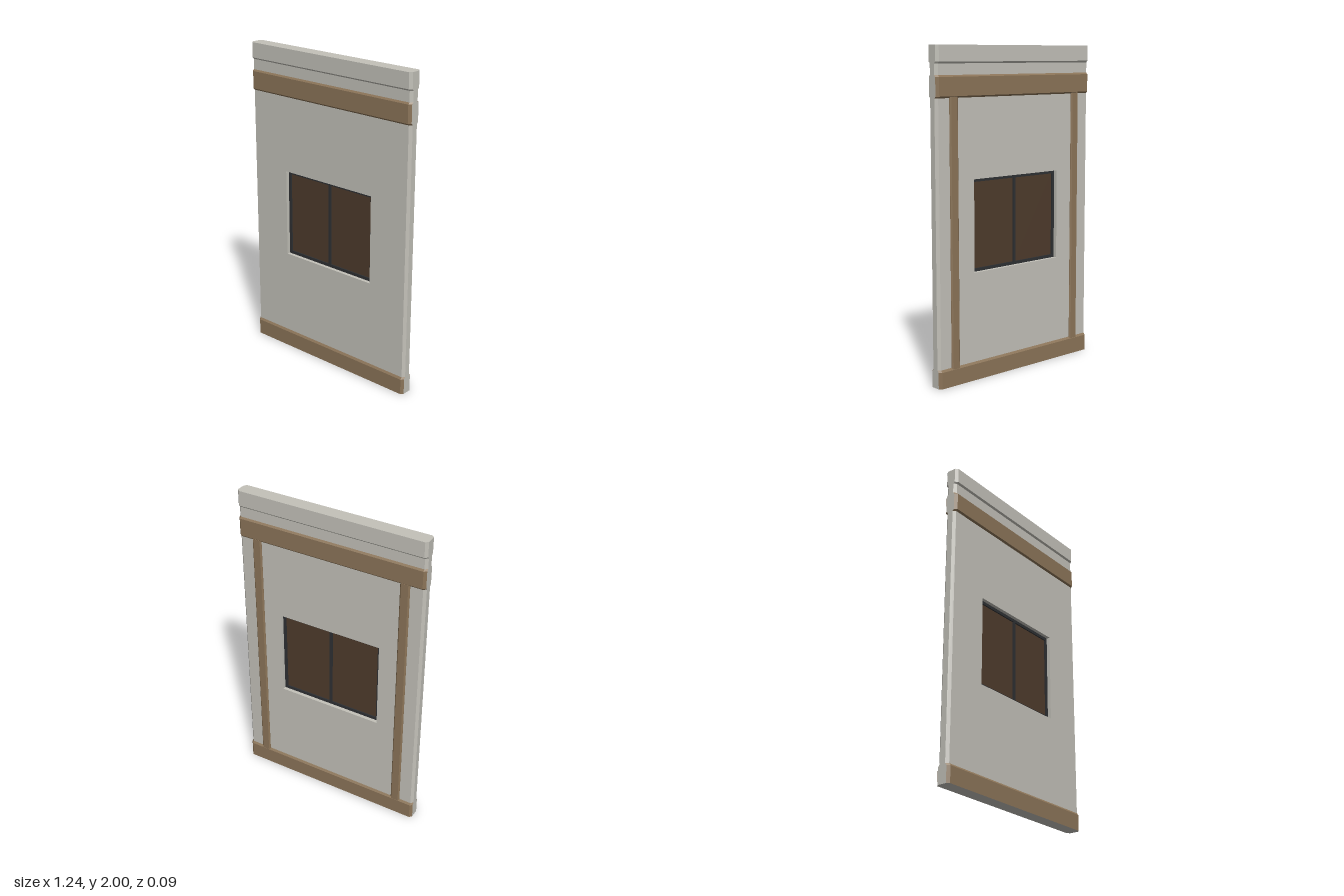
import * as THREE from 'three';

const plaster = new THREE.MeshStandardMaterial({ color: 0xc3c1b9, name: 'plaster' });
const timber = new THREE.MeshStandardMaterial({ color: 0x8b7458, name: 'timber' });
const frameDark = new THREE.MeshStandardMaterial({ color: 0x2e3033, name: 'window frame' });
const glassBrown = new THREE.MeshStandardMaterial({ color: 0x4e3b2c, name: 'window pane' });

const HALF = 0.62, INNER = 0.605, CHAMFER = 0.016;
const WALL = 0.035, BAND = 0.045;

// Chamfered plan outline, starting front left and running anticlockwise from above
function outline(y, h) {
  const c = h - CHAMFER;
  return [[-INNER, h], [INNER, h], [HALF, c], [HALF, -c],
    [INNER, -h], [-INNER, -h], [-HALF, -c], [-HALF, c]].map(([x, z]) => [x, y, z]);
}

// Stacks outlines at [height, half depth] rows; flat ends are plaster, the rest takes the material
function loft(name, rows, material, { openFaces = false, top = false, bottom = false } = {}) {
  const rings = rows.map(([y, h]) => outline(y, h));
  const faces = [], ends = [];
  for (let r = 0; r < rings.length - 1; r++) {
    for (let i = 0; i < 8; i++) {
      if (openFaces && i % 4 === 0) continue;
      const j = (i + 1) % 8;
      const a = rings[r][i], b = rings[r][j], c = rings[r + 1][j], d = rings[r + 1][i];
      (i % 4 === 2 ? ends : faces).push(a, b, c, a, c, d);
    }
  }
  for (let i = 1; i < 7; i++) {
    const t = rings[rings.length - 1], b = rings[0];
    if (top) ends.push(t[0], t[i], t[i + 1]);
    if (bottom) ends.push(b[0], b[i + 1], b[i]);
  }
  const g = new THREE.BufferGeometry();
  g.setAttribute('position', new THREE.Float32BufferAttribute([...faces, ...ends].flat(), 3));
  g.addGroup(0, faces.length, 0);
  g.addGroup(faces.length, ends.length, 1);
  g.computeVertexNormals();
  const mesh = new THREE.Mesh(g, [material, plaster]);
  mesh.name = name;
  return mesh;
}

function rect(Type, x0, y0, x1, y1) {
  return new Type([[x0, y0], [x1, y0], [x1, y1], [x0, y1]].map(p => new THREE.Vector2(...p)));
}

// Upright slab with rectangular openings, centred on z = 0
function slab(name, material, outer, holes, depth) {
  const shape = rect(THREE.Shape, ...outer);
  shape.holes = holes.map(h => rect(THREE.Path, ...h));
  const g = new THREE.ExtrudeGeometry(shape, { depth, bevelEnabled: false });
  g.translate(0, 0, -depth / 2);
  const mesh = new THREE.Mesh(g, material);
  mesh.name = name;
  return mesh;
}

// Bevelled batten on the back of the wall
function backPost(name, x) {
  const w = 0.031, b = 0.008;
  const shape = new THREE.Shape([[-w, 0.03], [w, 0.03], [w, WALL + 0.002], [w - b, BAND], [b - w, BAND], [-w, WALL + 0.002]]
    .map(p => new THREE.Vector2(...p)));
  const g = new THREE.ExtrudeGeometry(shape, { depth: 1.605, bevelEnabled: false });
  g.rotateX(-Math.PI / 2);
  const mesh = new THREE.Mesh(g, timber);
  mesh.position.set(x, 0.102, 0);
  mesh.name = name;
  return mesh;
}

export function createModel() {
  const group = new THREE.Group();
  group.name = 'wallPanel';

  // Wall layers from bottom to top
  group.add(
    loft('lowerBand', [[0, BAND], [0.1, BAND], [0.113, WALL]], timber, { bottom: true }),
    loft('wallEdges', [[0.113, WALL], [1.7, WALL]], plaster, { openFaces: true }),
    loft('upperBand', [[1.7, WALL], [1.71, BAND], [1.82, BAND], [1.83, WALL]], timber),
    loft('cornice', [[1.83, WALL], [1.895, WALL], [1.905, BAND], [2, BAND]], plaster, { top: true }),
  );

  // Wall faces with the window opening
  const x = 0.343, y0 = 0.66, y1 = 1.22, f = 0.019, m = 0.009;
  group.add(slab('wall', plaster, [-INNER, 0.105, INNER, 1.706], [[-x, y0, x, y1]], WALL * 2));

  // Two-light window set inside the opening
  group.add(slab('windowFrame', frameDark, [-x, y0, x, y1],
    [[-x + f, y0 + f, -m, y1 - f], [m, y0 + f, x - f, y1 - f]], 0.024));
  for (const [name, s] of [['leftPane', 1], ['rightPane', -1]]) {
    const pane = new THREE.Mesh(new THREE.BoxGeometry(x - f - m, y1 - y0 - 2 * f, 0.008), glassBrown);
    pane.position.set(s * (x - f + m) / 2, (y0 + y1) / 2, 0);
    pane.name = name;
    group.add(pane);
  }

  group.add(backPost('leftBackPost', 0.495), backPost('rightBackPost', -0.495));
  return group;
}
